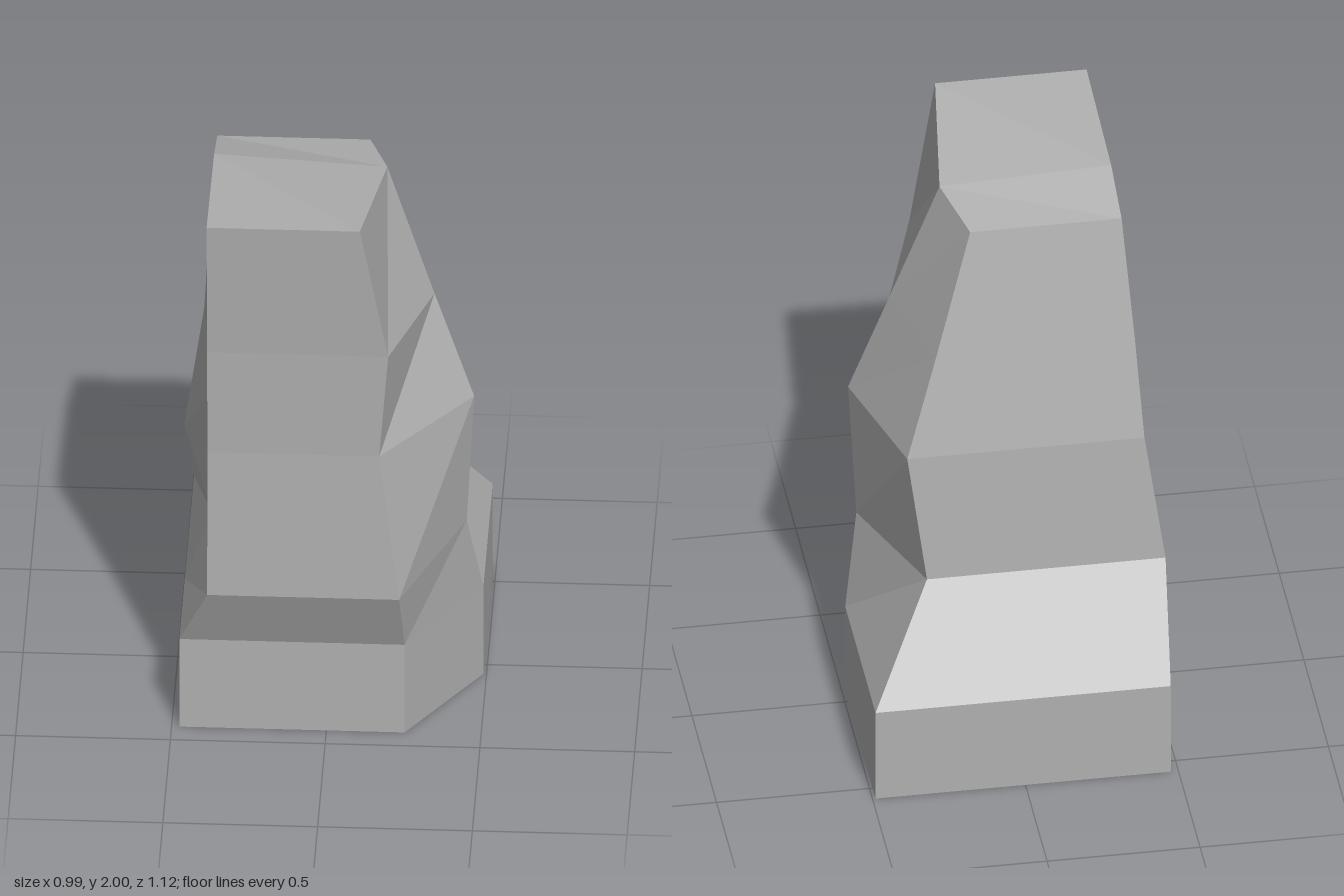
import * as THREE from 'three';

// Cross-sections from the ground up. Six corners each:
// back left-hand, back right-hand, right middle, front right, front left, left middle (seen from the front)
const base = y => [[-0.475, y, -0.56], [0.49, y, -0.56], [0.49, y, 0.055], [0.253, y, 0.42], [-0.475, y, 0.42], [-0.475, y, 0.055]];
const rings = [
  base(0),
  base(0.335),
  [[-0.495, 0.68, -0.33], [0.285, 0.68, -0.33], [0.44, 0.64, 0.14], [0.24, 0.57, 0.52], [-0.38, 0.57, 0.52], [-0.38, 0.64, 0.14]],
  [[-0.43, 1.14, -0.305], [0.345, 1.14, -0.305], [0.465, 1.125, 0.155], [0.175, 1.11, 0.51], [-0.38, 1.11, 0.51], [-0.38, 1.12, 0.155]],
  [[-0.41, 1.48, -0.237], [0.24, 1.48, -0.237], [0.335, 1.49, 0.118], [0.205, 1.5, 0.523], [-0.38, 1.5, 0.523], [-0.38, 1.49, 0.118]],
  [[-0.38, 1.9, -0.152], [0.115, 1.9, -0.152], [0.18, 1.937, 0.067], [0.115, 2, 0.56], [-0.38, 2, 0.56], [-0.38, 1.965, 0.06]],
];

// Flat-faceted geometry from four-cornered faces
function facets(quads) {
  const points = quads.flatMap(([a, b, c, d]) => [a, b, c, a, c, d]);
  const geometry = new THREE.BufferGeometry();
  geometry.setAttribute('position', new THREE.Float32BufferAttribute(points.flat(), 3));
  geometry.computeVertexNormals();
  return geometry;
}

// Walls joining consecutive cross-sections
function walls(from, to) {
  const quads = [];
  for (let r = from; r < to; r++) {
    const low = rings[r], high = rings[r + 1];
    for (let i = 0; i < 6; i++) {
      const j = (i + 1) % 6;
      quads.push([low[j], low[i], high[i], high[j]]);
    }
  }
  return facets(quads);
}

export function createModel() {
  const group = new THREE.Group();
  group.name = 'rockPillar';
  const stone = new THREE.MeshStandardMaterial({ color: 0xb0b0b0, side: THREE.DoubleSide, flatShading: true });
  stone.name = 'greyStone';

  const add = (name, geometry) => {
    const mesh = new THREE.Mesh(geometry, stone);
    mesh.name = name;
    group.add(mesh);
  };

  // Foot, open underneath
  add('foot', walls(0, 1));
  // Sloping shoulder above the foot
  add('shoulder', walls(1, 2));
  // Tapering shaft
  add('shaft', walls(2, 5));
  // Creased top
  const [a, b, c, d, e, f] = rings[5];
  add('top', facets([[a, f, c, b], [f, e, d, c]]));

  return group;
}
